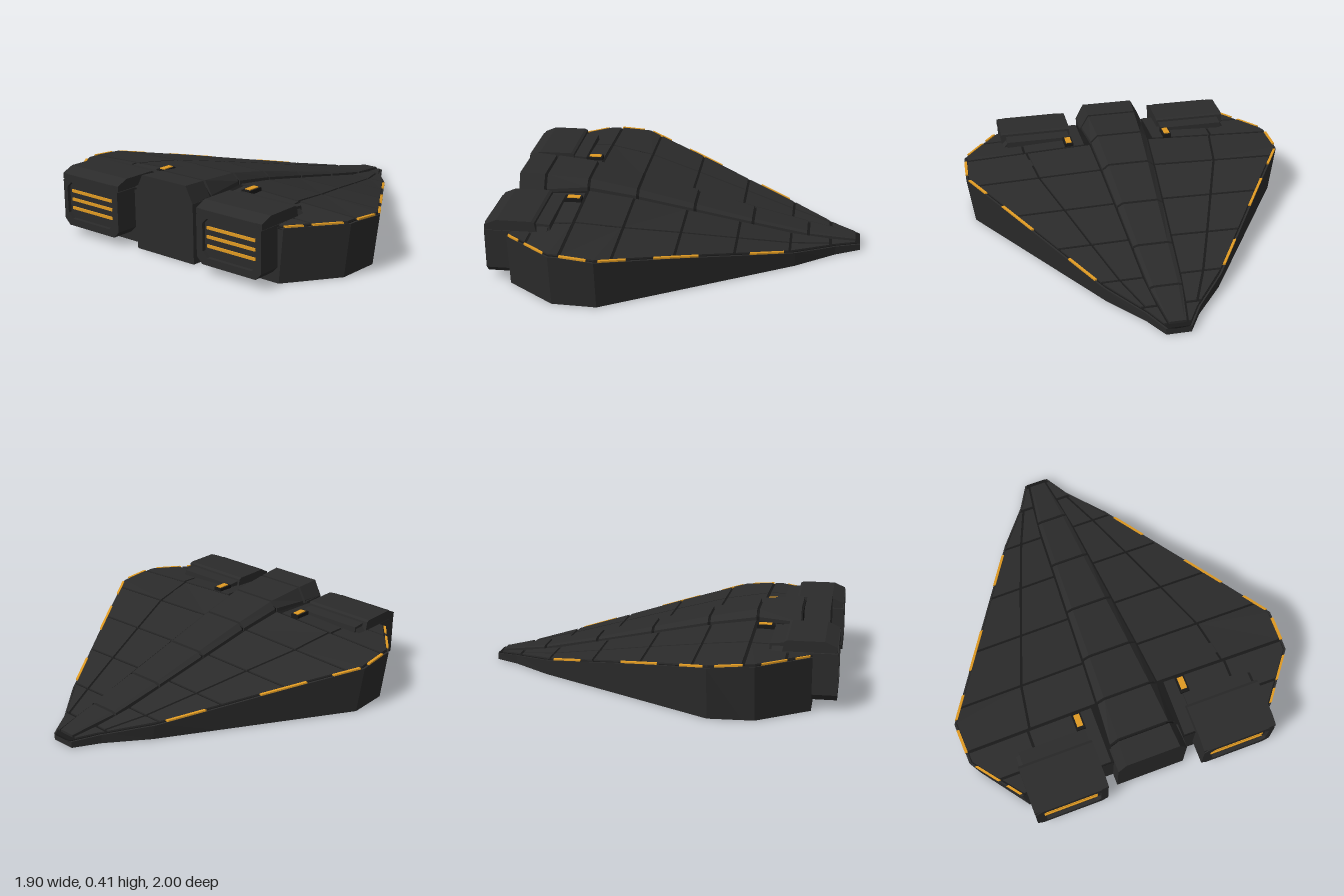
import * as THREE from 'three';

const mat = (name, color) => {
  const m = new THREE.MeshStandardMaterial({ color });
  m.name = name;
  return m;
};

// piecewise linear curve through [z, value] points
const curve = (pts) => (z) => {
  if (z <= pts[0][0]) return pts[0][1];
  for (let i = 1; i < pts.length; i++) {
    const [a, va] = pts[i - 1], [b, vb] = pts[i];
    if (z <= b) return va + ((vb - va) * (z - a)) / (b - a);
  }
  return pts[pts.length - 1][1];
};

const outline = curve([[-1, 0.07], [-0.86, 0.15], [-0.64, 0.325], [0.36, 0.95], [0.6, 0.94], [0.87, 0.73]]);
const innerY = curve([[-1, 0.045], [-0.83, 0.065], [-0.61, 0.1], [-0.32, 0.165], [-0.02, 0.23], [0.28, 0.295], [0.54, 0.34], [0.87, 0.315]]);
const edgeY = curve([[-1, 0.045], [-0.83, 0.064], [-0.61, 0.098], [-0.32, 0.155], [-0.02, 0.215], [0.36, 0.283], [0.54, 0.297], [0.87, 0.3]]);
const spineY = curve([[-0.98, 0.056], [-0.7, 0.102], [-0.39, 0.168], [-0.06, 0.25], [0.265, 0.33], [0.54, 0.387], [0.79, 0.406], [0.94, 0.414]]);
const spineW = curve([[-0.98, 0.045], [-0.7, 0.088], [0.94, 0.2]]);
const midX = curve([[-0.83, 0.14], [-0.61, 0.23], [-0.32, 0.33], [-0.02, 0.43], [0.28, 0.53], [0.54, 0.57]]);
const deckY = (x, z) => THREE.MathUtils.lerp(innerY(z), edgeY(z), Math.min(1, Math.abs(x) / outline(z)));

// closed flat-shaded solid through rings of equal point count, always facing outward
function solid(rings) {
  const tris = [], n = rings[0].length, last = rings[rings.length - 1];
  for (let r = 0; r + 1 < rings.length; r++) {
    for (let i = 0; i < n; i++) {
      const j = (i + 1) % n, a = rings[r], b = rings[r + 1];
      tris.push([a[i], a[j], b[j]], [a[i], b[j], b[i]]);
    }
  }
  for (let i = 1; i + 1 < n; i++) {
    tris.push([rings[0][0], rings[0][i + 1], rings[0][i]], [last[0], last[i], last[i + 1]]);
  }
  let volume = 0;
  for (const [a, b, c] of tris) {
    volume += a[0] * (b[1] * c[2] - b[2] * c[1]) + a[1] * (b[2] * c[0] - b[0] * c[2]) + a[2] * (b[0] * c[1] - b[1] * c[0]);
  }
  if (volume < 0) tris.forEach((t) => t.reverse());
  const g = new THREE.BufferGeometry();
  g.setAttribute('position', new THREE.Float32BufferAttribute(tris.flat(2), 3));
  g.computeVertexNormals();
  return g;
}

// plate that follows the deck over an [x, z] polygon
const plate = (poly, low, high) =>
  solid([low, high].map((h) => poly.map(([x, z]) => [x, deckY(x, z) + h, z])));

// rectangle with cut corners
function cutRect(T, x0, x1, y0, y1, c) {
  const s = new T();
  s.moveTo(x0 + c, y0);
  [[x1 - c, y0], [x1, y0 + c], [x1, y1 - c], [x1 - c, y1], [x0 + c, y1], [x0, y1 - c], [x0, y0 + c]].forEach(([x, y]) => s.lineTo(x, y));
  s.closePath();
  return s;
}

function extrude(shape, z0, z1) {
  const g = new THREE.ExtrudeGeometry(shape, { depth: z1 - z0, bevelEnabled: false });
  return g.translate(0, 0, z0);
}

function box(x0, x1, y0, y1, z0, z1) {
  return new THREE.BoxGeometry(x1 - x0, y1 - y0, z1 - z0).translate((x0 + x1) / 2, (y0 + y1) / 2, (z0 + z1) / 2);
}

export function createModel() {
  const model = new THREE.Group();
  model.name = 'wedgeShip';
  const armor = mat('armor', 0x2b2b2b);
  const groove = mat('groove', 0x191919);
  const glow = mat('amberLight', 0xe09a22);
  const add = (name, geo, material) => {
    const m = new THREE.Mesh(geo, material);
    m.name = name;
    model.add(m);
  };

  // hull: walls lean inward to a flat keel
  const stations = [-1, -0.86, -0.83, -0.64, -0.61, -0.32, -0.02, 0.28, 0.36, 0.54, 0.6, 0.87];
  const rim = 0.008;
  add('hull', solid(stations.map((z) => {
    const w = outline(z), b = w * 0.96, e = edgeY(z) - rim;
    return [[0, 0, z], [b, 0, z], [w, e, z], [0, innerY(z) - 0.014, z], [-w, e, z], [-b, 0, z]];
  })), armor);

  // dark bed showing in the gaps between armour panels
  for (const s of [1, -1]) {
    for (let i = 0; i + 1 < stations.length; i++) {
      const a = stations[i], b = stations[i + 1];
      const bed = [[0, a], [outline(a) - 0.012, a], [outline(b) - 0.012, b], [0, b]];
      add('panelBed', plate(bed.map(([x, z]) => [s * x, z]), -0.016, -0.005), groove);
    }
  }

  // armour panels in two columns per side
  const g = 0.007;
  const rows = [-0.83, -0.61, -0.32, -0.02, 0.28, 0.54];
  const inX = (z) => spineW(z) + 0.012;
  const outX = (z) => outline(z) - 0.016;
  const panels = [[[inX(-0.97), -0.97], [outX(-0.97), -0.97], [outX(-0.86), -0.86], [outX(-0.84), -0.84], [inX(-0.84), -0.84]]];
  for (let i = 0; i + 1 < rows.length; i++) {
    const a = rows[i] + g, b = rows[i + 1] - g;
    panels.push([[inX(a), a], [midX(a) - g, a], [midX(b) - g, b], [inX(b), b]]);
    const corner = a < 0.36 && b > 0.36 ? [[outX(0.36), 0.36]] : [];
    panels.push([[midX(a) + g, a], [outX(a), a], ...corner, [outX(b), b], [midX(b) + g, b]]);
  }
  panels.push(
    [[0.215, 0.55], [0.575, 0.55], [0.575, 0.865], [0.215, 0.865]],
    [[0.59, 0.55], [0.925, 0.55], [0.922, 0.6], [0.815, 0.738], [0.59, 0.738]],
    [[0.59, 0.752], [0.8, 0.752], [0.715, 0.86], [0.59, 0.86]],
  );

  // light strips along the rim
  const strips = [[-0.58, -0.4], [-0.14, 0.08], [0.21, 0.34], [0.4, 0.54], [0.63, 0.75], [0.79, 0.86]];

  for (const s of [1, -1]) {
    const flip = (poly) => poly.map(([x, z]) => [s * x, z]);
    panels.forEach((p) => add('armorPanel', plate(flip(p), -0.015, 0.003), armor));
    for (const [a, b] of strips) {
      const p = [[outline(a) - 0.014, a], [outline(a) + 0.002, a], [outline(b) + 0.002, b], [outline(b) - 0.014, b]];
      add('rimLight', plate(flip(p), -0.005, 0.004), glow);
    }

    // engine block with recessed exhaust grille
    const X = (a, b) => (s > 0 ? [a, b] : [-b, -a]);
    const [e0, e1] = X(0.28, 0.695);
    add('engineBlock', extrude(cutRect(THREE.Shape, e0, e1, 0.05, 0.34, 0.035), 0.66, 0.98), armor);
    const [h0, h1] = X(0.32, 0.667);
    const frame = cutRect(THREE.Shape, e0, e1, 0.05, 0.34, 0.035);
    frame.holes.push(cutRect(THREE.Path, h0, h1, 0.09, 0.297, 0.03));
    add('engineFrame', extrude(frame, 0.98, 1), armor);
    const [l0, l1] = X(0.337, 0.647);
    for (const y of [0.148, 0.197, 0.245]) add('exhaustLight', box(l0, l1, y - 0.008, y + 0.008, 0.978, 0.987), glow);

    // engine cover with sloped ends, and the lower step ahead of it
    const cover = (x0, x1, prof) => solid([x0, x1].map((x) => prof.map(([z, y]) => [s * x, y, z])));
    add('engineCover', cover(0.277, 0.7, [[0.715, 0.31], [0.725, 0.36], [0.74, 0.368], [0.93, 0.368], [0.995, 0.34], [0.995, 0.31]]), armor);
    add('engineStep', cover(0.29, 0.67, [[0.645, 0.3], [0.65, 0.342], [0.73, 0.348], [0.73, 0.3]]), armor);

    // small deck lamp
    add('lampHousing', box(...X(0.28, 0.332), 0.3, 0.347, 0.55, 0.647), groove);
    add('deckLamp', box(...X(0.289, 0.323), 0.345, 0.352, 0.56, 0.63), glow);
  }

  // raised spine: dark core with separate armoured segments
  const ring = (z, drop) => {
    const w = spineW(z) - drop * 0.4, t = spineW(z) * 0.77 - drop * 0.4;
    const y = spineY(z) - drop, base = innerY(z) - 0.02;
    return [[-w, base, z], [w, base, z], [w, Math.min(y, base + 0.03), z], [t, y, z], [-t, y, z], [-w, Math.min(y, base + 0.03), z]];
  };
  const cuts = [-0.98, -0.705, -0.39, -0.06, 0.265, 0.54, 0.787, 0.937];
  add('spineCore', solid(cuts.slice(1, -1).map((z) => ring(z, 0.022))), groove);
  for (let i = 0; i + 1 < cuts.length; i++) {
    add('spineSegment', solid([ring(cuts[i] + 0.008, 0), ring(cuts[i + 1] - (i === 6 ? 0 : 0.008), 0)]), armor);
  }

  // tail block below the spine
  add('tailBlock', box(-0.2, 0.2, 0, 0.325, 0.8, 0.937), armor);
  return model;
}
